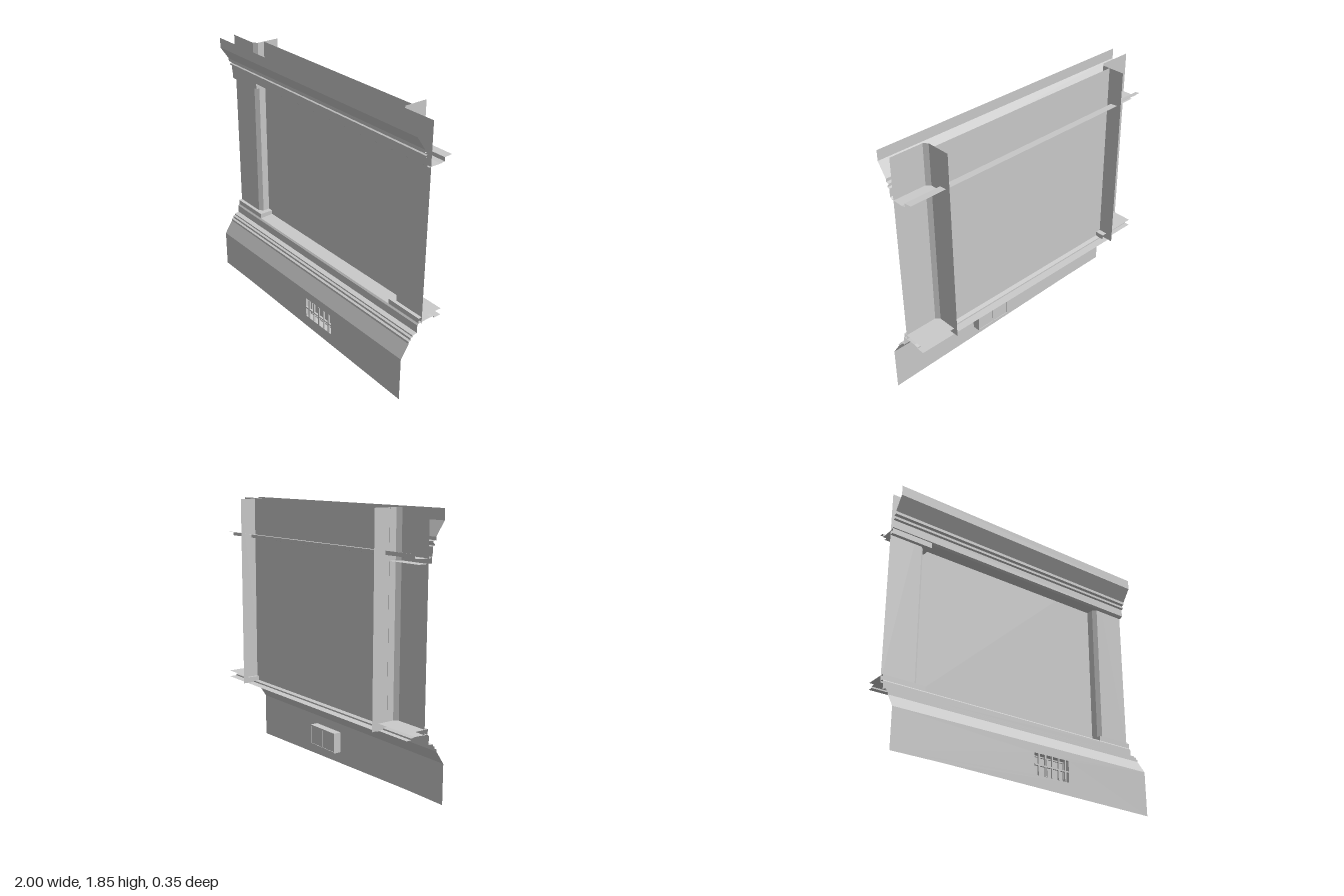
import * as THREE from 'three';

const mat = new THREE.MeshStandardMaterial({ color: 0xcccccc, side: THREE.DoubleSide, flatShading: true });

// Open sheet: a polyline of [x, y, z] points swept along a straight vector
function sweep(name, pts, [dx, dy, dz]) {
  const pos = [];
  for (let i = 0; i < pts.length - 1; i++) {
    const a = pts[i], b = pts[i + 1];
    const c = [b[0] + dx, b[1] + dy, b[2] + dz], d = [a[0] + dx, a[1] + dy, a[2] + dz];
    pos.push(...a, ...b, ...c, ...a, ...c, ...d);
  }
  const geo = new THREE.BufferGeometry();
  geo.setAttribute('position', new THREE.Float32BufferAttribute(pos, 3));
  geo.computeVertexNormals();
  const mesh = new THREE.Mesh(geo, mat);
  mesh.name = name;
  return mesh;
}

// Horizontal moulding from a [z, y] profile between two x positions
const moulding = (name, profile, x0, x1) =>
  sweep(name, profile.map(([z, y]) => [x0, y, z]), [x1 - x0, 0, 0]);

function box(name, x0, x1, y0, y1, z0, z1) {
  const mesh = new THREE.Mesh(new THREE.BoxGeometry(x1 - x0, y1 - y0, z1 - z0), mat);
  mesh.position.set((x0 + x1) / 2, (y0 + y1) / 2, (z0 + z1) / 2);
  mesh.name = name;
  return mesh;
}

// Block wrapping a pier: front, one horizontal face and the inner end
function pierBlock(name, side, inner, y0, y1, faceY, back) {
  const g = new THREE.Group();
  g.name = name;
  const otherY = faceY === y1 ? y0 : y1;
  g.add(moulding(name + 'Faces', [[0.04, otherY], [0.04, faceY], [back, faceY]], side * inner, side));
  g.add(sweep(name + 'End', [[side * inner, y0, 0.04], [side * inner, y0, back]], [0, y1 - y0, 0]));
  return g;
}

// Small barred cellar window set into the plinth
function cellarWindow(x0, x1, y0, y1) {
  const g = new THREE.Group();
  g.name = 'cellarWindow';
  const back = 0.118, front = 0.175, t = 0.008, mid = (x0 + x1) / 2;
  g.add(sweep('reveal', [[x0, y0, back], [x1, y0, back], [x1, y1, back], [x0, y1, back], [x0, y0, back]], [0, 0, front - back]));
  g.add(sweep('glass', [[x0, y0, back + 0.004], [x1, y0, back + 0.004]], [0, y1 - y0, 0]));
  for (const x of [x0, mid - t / 2, x1 - t]) g.add(box('frameUpright', x, x + t, y0, y1, back, back + 0.014));
  for (const y of [y0, y1 - t]) g.add(box('frameRail', x0, x1, y, y + t, back, back + 0.014));
  for (let i = 0; i < 5; i++) {
    const x = x0 + 0.035 + i * 0.054;
    g.add(box('gridBar', x - 0.005, x + 0.005, y0, y1, 0.166, 0.177));
  }
  g.add(box('crossBar', x0, x1, 0.17, 0.18, 0.163, 0.176));
  return g;
}

export function createModel() {
  const model = new THREE.Group();
  model.name = 'facadeBay';

  // Plinth wall with its sloping foot and window opening
  const wall = new THREE.Shape([[-1, 0.045], [-0.65, 0.042], [1, 0], [1, 0.31], [-1, 0.31]].map(p => new THREE.Vector2(...p)));
  const [wx0, wx1, wy0, wy1] = [0.03, 0.31, 0.105, 0.25];
  wall.holes.push(new THREE.Path([[wx0, wy0], [wx0, wy1], [wx1, wy1], [wx1, wy0]].map(p => new THREE.Vector2(...p))));
  const plinth = new THREE.Mesh(new THREE.ShapeGeometry(wall), mat);
  plinth.name = 'plinth';
  plinth.position.z = 0.175;
  model.add(plinth, cellarWindow(wx0, wx1, wy0, wy1));

  // Weathered slope, string course and sill ledge
  const sill = [[0.175, 0.31], [0.115, 0.4], [0.115, 0.415], [0.1, 0.42], [0.1, 0.435],
    [0.085, 0.44], [0.085, 0.45], [0.05, 0.455], [0.05, 0.51], [0.04, 0.52], [-0.06, 0.525]];
  model.add(moulding('sillCourse', sill, -1, 1));

  // Cornice: fascia, splayed underside, bed moulding, frieze and soffit
  const cornice = [[0.132, 1.85], [0.132, 1.78], [0.07, 1.69], [0.07, 1.67], [0.05, 1.665],
    [0.05, 1.655], [0.06, 1.65], [0.06, 1.64], [0.045, 1.635], [0.045, 1.58], [0.03, 1.57], [-0.06, 1.57]];
  model.add(moulding('cornice', cornice, -1, 1));

  // Rear continuations of the soffit and sill
  for (const [x0, x1, back] of [[-1, -0.75, -0.125], [-0.75, 1, -0.145]]) {
    model.add(moulding('rearSoffit', [[-0.06, 1.57], [-0.09, 1.575], [-0.09, 1.6], [back, 1.605]], x0, x1));
    model.add(moulding('rearSill', [[-0.06, 0.525], [-0.09, 0.52], [-0.09, 0.51], [back, 0.51]], x0, x1));
  }

  // Recessed wall panel between the piers
  model.add(sweep('recessedPanel', [[-0.745, 0.51, -0.06], [0.742, 0.51, -0.06]], [0, 1.34, 0]));

  // Piers with chamfered edge, deep return and base block
  for (const s of [-1, 1]) {
    const name = s < 0 ? 'rightPier' : 'leftPier';
    model.add(sweep(name, [[s, 0.51, 0.015], [s * 0.767, 0.51, 0.015], [s * 0.743, 0.51, -0.01], [s * 0.743, 0.51, -0.175]], [0, 1.34, 0]));
    model.add(pierBlock(name + 'Base', s, s < 0 ? 0.705 : 0.722, 0.52, 0.555, 0.555, s < 0 ? -0.125 : -0.145));
  }
  // Capital on one pier only
  model.add(pierBlock('rightPierCapital', -1, 0.705, 1.538, 1.58, 1.538, -0.06));

  return model;
}
